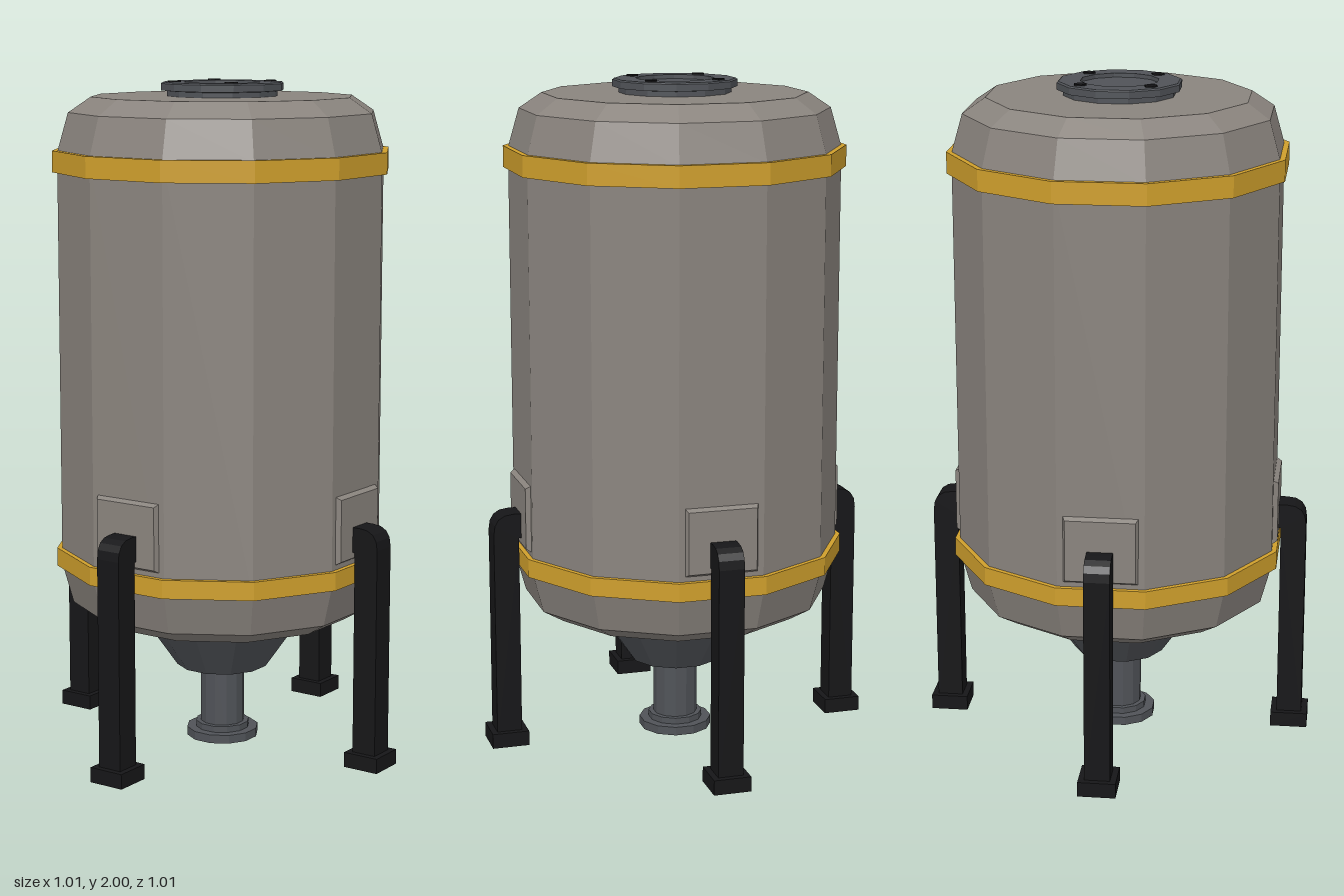
import * as THREE from 'three';

const SIDES = 12;
const mat = (color) => new THREE.MeshStandardMaterial({ color, flatShading: true });

export function createModel() {
  const model = new THREE.Group();
  const shell = mat(0x8a847e), gold = mat(0xcf9f2c), steel = mat(0x505358), iron = mat(0x161618);

  const add = (parent, name, geometry, material, x = 0, y = 0, z = 0) => {
    const mesh = new THREE.Mesh(geometry, material);
    mesh.name = name;
    mesh.position.set(x, y, z);
    parent.add(mesh);
    return mesh;
  };
  // Twelve-sided turned part from [radius, height] pairs, listed bottom to top
  const turned = (name, profile, material) =>
    add(model, name, new THREE.LatheGeometry(profile.map(([r, y]) => new THREE.Vector2(r, y)), SIDES), material);

  // Tank body with chamfered ends
  turned('tank', [[0, 0.4], [0.39, 0.4], [0.457, 0.44], [0.49, 0.56], [0.49, 1.795],
    [0.457, 1.91], [0.39, 1.955], [0, 1.955]], shell);

  // Hoops around the tank
  for (const [name, y0, y1] of [['lowerBand', 0.555, 0.61], ['upperBand', 1.737, 1.8]])
    turned(name, [[0.47, y0], [0.505, y0], [0.505, y1], [0.47, y1]], gold);

  // Outlet: funnel, pipe and flange
  turned('funnel', [[0, 0.228], [0.14, 0.228], [0.26, 0.4], [0, 0.4]], steel);
  turned('outletPipe', [[0.067, 0.03], [0.067, 0.235]], steel);
  turned('outletFlange', [[0, 0], [0.11, 0], [0.11, 0.026], [0.082, 0.026], [0.082, 0.045], [0, 0.045]], steel);

  // Hatch with a shallow recess and four hex bolts
  turned('hatch', [[0.165, 1.95], [0.165, 1.97], [0.183, 1.972], [0.183, 1.992], [0.178, 1.996],
    [0.115, 1.996], [0.115, 1.984], [0, 1.984]], steel);
  for (let i = 0; i < 4; i++) {
    const a = i * Math.PI / 2;
    add(model, 'hatchBolt', new THREE.CylinderGeometry(0.02, 0.02, 0.02, 6), iron,
      0.143 * Math.sin(a), 1.99, 0.143 * Math.cos(a));
  }

  // Leg outline: a post that turns into the tank with a rounded shoulder
  const outline = new THREE.Shape();
  outline.moveTo(0.495, 0.02);
  outline.lineTo(0.571, 0.02);
  outline.lineTo(0.571, 0.665);
  outline.quadraticCurveTo(0.571, 0.725, 0.511, 0.725);
  outline.lineTo(0.44, 0.725);
  outline.lineTo(0.44, 0.65);
  outline.lineTo(0.495, 0.65);
  const post = new THREE.ExtrudeGeometry(outline, { depth: 0.076, bevelEnabled: false, curveSegments: 4 });
  post.translate(0, 0, -0.038);

  // Mounting pad: a box whose outer face is drawn in to make bevels
  const pad = new THREE.BoxGeometry(0.04, 0.23, 0.24);
  const p = pad.attributes.position;
  for (let i = 0; i < p.count; i++) {
    if (p.getX(i) > 0) p.setXYZ(i, 0.02, p.getY(i) * 0.8, p.getZ(i) * 0.85);
  }

  // Four legs, each on a diagonal face of the tank
  for (let i = 0; i < 4; i++) {
    const leg = new THREE.Group();
    leg.name = 'leg';
    leg.rotation.y = Math.PI / 4 + i * Math.PI / 2;
    add(leg, 'legPost', post, iron);
    add(leg, 'foot', new THREE.BoxGeometry(0.112, 0.045, 0.112), iron, 0.533, 0.0225, 0);
    add(leg, 'mountingPad', pad, shell, 0.468, 0.725, 0);
    model.add(leg);
  }
  return model;
}
